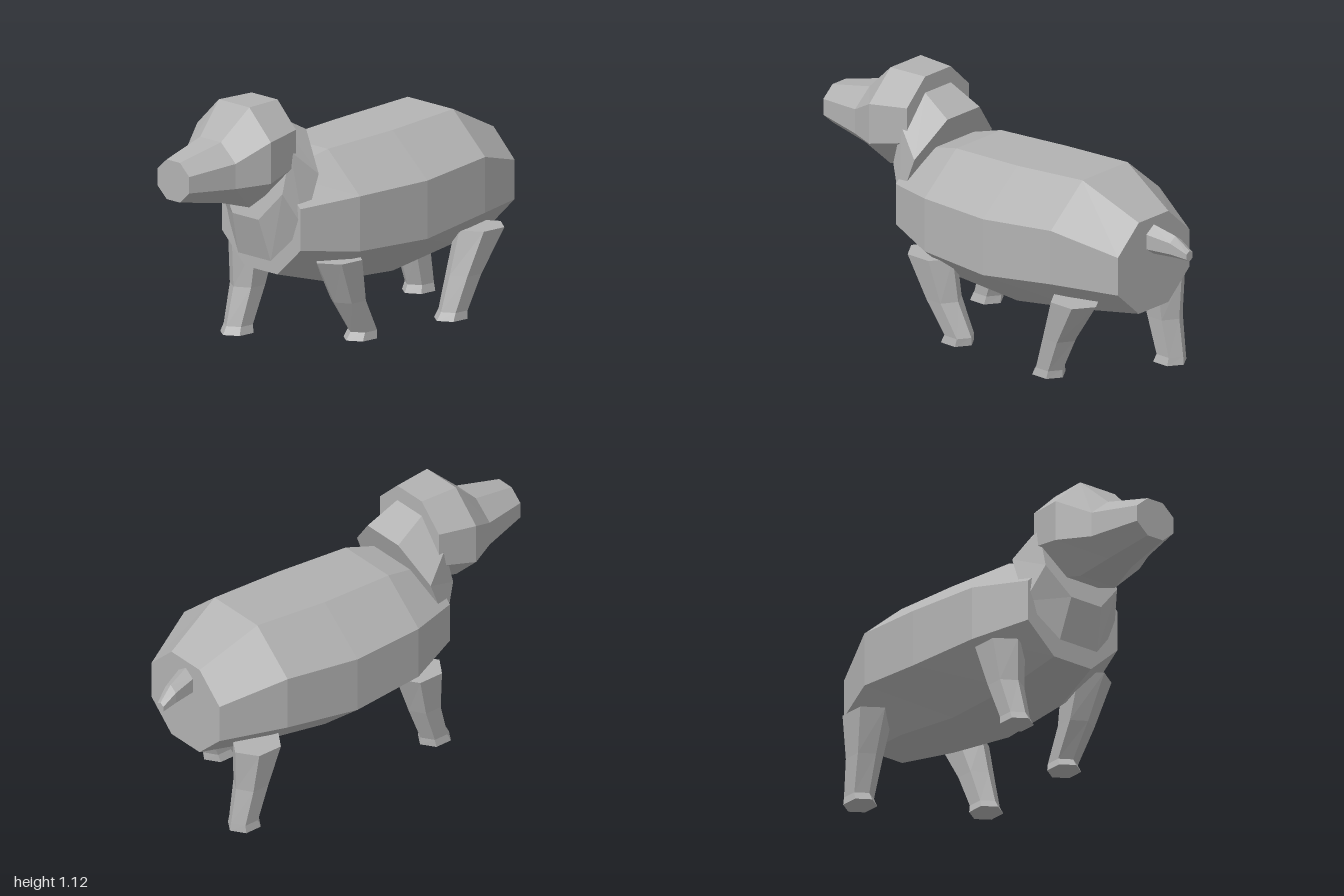
import * as THREE from 'three';

// Joins rings of points (each counterclockwise around the loft direction) and caps both ends.
function loft(rings) {
  const n = rings[0].length;
  const index = [];
  for (let r = 0; r < rings.length - 1; r++) {
    for (let i = 0; i < n; i++) {
      const j = (i + 1) % n;
      const a = r * n + i, b = r * n + j, c = a + n, d = b + n;
      index.push(a, b, d, a, d, c);
    }
  }
  const last = (rings.length - 1) * n;
  for (let i = 1; i < n - 1; i++) {
    index.push(0, i + 1, i, last, last + i, last + i + 1);
  }
  const geometry = new THREE.BufferGeometry();
  geometry.setAttribute('position', new THREE.Float32BufferAttribute(rings.flat(2), 3));
  geometry.setIndex(index);
  const flat = geometry.toNonIndexed();
  flat.computeVertexNormals();
  return flat;
}

// Upright flat-topped ring facing +z; zTop and zBottom let it lean.
function uprightRing({ x = 0, half, top, bottom, z, zTop = z, zBottom = z }, sides = 8) {
  const k = 1 / Math.cos(Math.PI / sides);
  return Array.from({ length: sides }, (_, i) => {
    const a = ((i + 0.5) / sides) * Math.PI * 2;
    const t = (Math.sin(a) * k + 1) / 2;
    return [x + Math.cos(a) * half * k, bottom + (top - bottom) * t, zBottom + (zTop - zBottom) * t];
  });
}

// Level six-sided ring with one corner pointing forward.
function levelRing(x, y, z, halfX, halfZ) {
  return Array.from({ length: 6 }, (_, i) => {
    const a = ((i + 0.5) / 6) * Math.PI * 2;
    return [x + Math.cos(a) * halfX / Math.cos(Math.PI / 6), y, z - Math.sin(a) * halfZ];
  });
}

export function createModel() {
  const model = new THREE.Group();
  model.name = 'animal';
  const fur = new THREE.MeshStandardMaterial({ color: 0xb2b2b2 });
  fur.name = 'grey fur';

  const add = (name, rings) => {
    const mesh = new THREE.Mesh(loft(rings), fur);
    mesh.name = name;
    model.add(mesh);
  };

  // Barrel body, rump to chest
  add('body', [
    { z: -0.825, half: 0.23, top: 0.775, bottom: 0.35 },
    { z: -0.54, half: 0.35, top: 0.912, bottom: 0.31 },
    { z: -0.17, half: 0.381, top: 0.885, bottom: 0.255 },
    { z: 0.2, half: 0.35, top: 0.863, bottom: 0.268 },
    { z: 0.46, half: 0.25, top: 0.79, bottom: 0.338 },
  ].map((s) => uprightRing(s)));

  // Leaning neck with the chest below
  add('neck', [
    { half: 0.25, top: 0.96, bottom: 0.405, zTop: 0.29, zBottom: 0.5 },
    { half: 0.2, top: 1.04, bottom: 0.595, zTop: 0.44, zBottom: 0.553 },
  ].map((s) => uprightRing(s)));

  // Head tapering to the snout, turned slightly
  add('head', [
    { z: 0.44, half: 0.2, top: 1.115, bottom: 0.725 },
    { z: 0.625, x: 0.005, half: 0.235, top: 1.115, bottom: 0.667 },
    { z: 0.77, x: 0.012, half: 0.16, top: 0.98, bottom: 0.708 },
    { z: 1, x: 0.022, half: 0.102, top: 0.925, bottom: 0.747 },
  ].map((s) => uprightRing(s)));

  // Short tail
  add('tail', [
    { z: -1, x: -0.04, half: 0.02, top: 0.648, bottom: 0.606 },
    { z: -0.93, x: -0.025, half: 0.035, top: 0.7, bottom: 0.612 },
    { z: -0.81, x: 0.002, half: 0.05, top: 0.735, bottom: 0.612 },
  ].map((s) => uprightRing(s, 6)));

  // Striding legs: z positions of foot, ankle, knee and hip
  const legs = [
    { name: 'leftFrontLeg', side: 1, lift: 0.02, z: [0.102, 0.09, 0.177, 0.243] },
    { name: 'rightFrontLeg', side: -1, lift: 0, z: [0.377, 0.367, 0.31, 0.275] },
    { name: 'leftRearLeg', side: 1, lift: 0.014, z: [-0.433, -0.445, -0.505, -0.597] },
    { name: 'rightRearLeg', side: -1, lift: 0, z: [-0.697, -0.703, -0.665, -0.635] },
  ];
  for (const { name, side, lift, z } of legs) {
    add(name, [
      levelRing(side * 0.245, lift, z[0], 0.062, 0.082),
      levelRing(side * 0.247, lift + 0.036, z[1], 0.055, 0.071),
      levelRing(side * 0.25, 0.205, z[2], 0.068, 0.083),
      levelRing(side * 0.255, 0.4, z[3], 0.09, 0.122),
    ]);
  }
  return model;
}
